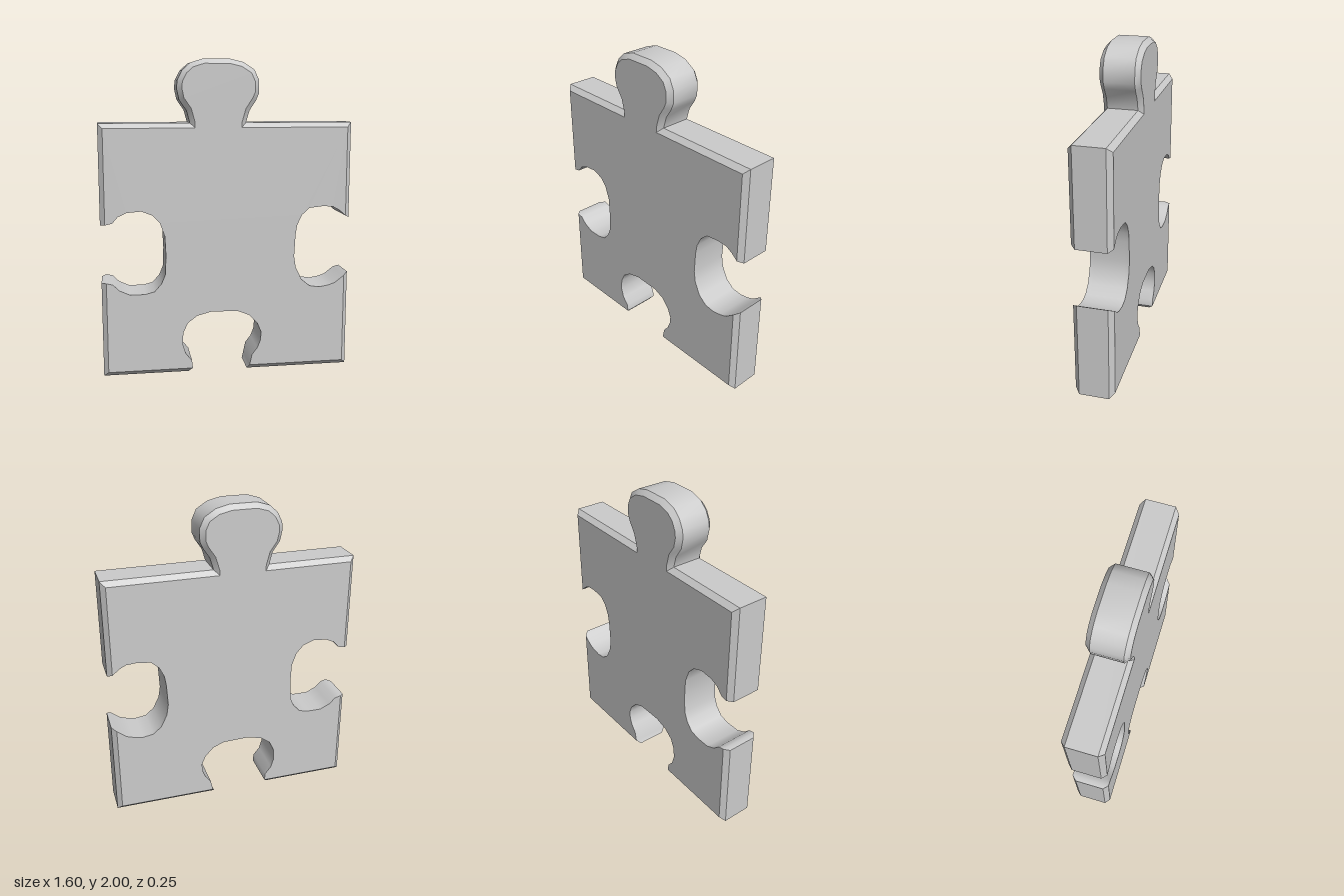
import * as THREE from 'three';
import { toCreasedNormals } from 'three/addons/utils/BufferGeometryUtils.js';

const HALF_W = 0.8, TOP = 1.61, HALF_D = 0.125, CHAMFER = 0.03, CREASE = 0.7;

// Sockets run counter-clockwise round the plate. The first and last points lie on
// the plate's edge, the second and second-last on the edge of the chamfer.
const bottomSocket = [
  [-0.255, 0], [-0.23, 0.03], [-0.235, 0.08], [-0.275, 0.13], [-0.295, 0.195], [-0.29, 0.27],
  [-0.26, 0.335], [-0.2, 0.38], [-0.105, 0.405], [0.065, 0.4], [0.14, 0.37], [0.195, 0.31],
  [0.22, 0.25], [0.215, 0.195], [0.195, 0.145], [0.16, 0.1], [0.145, 0.03], [0.13, 0],
];
const leftSocket = [
  [0.8, 0.63], [0.77, 0.612], [0.71, 0.565], [0.665, 0.55], [0.605, 0.54], [0.54, 0.55],
  [0.485, 0.595], [0.445, 0.675], [0.433, 0.75], [0.44, 0.89], [0.45, 0.955], [0.48, 1.02],
  [0.53, 1.065], [0.62, 1.075], [0.685, 1.07], [0.73, 1.045], [0.77, 1.01], [0.8, 0.995],
];
const rightSocket = [
  [-0.8, 0.98], [-0.77, 0.985], [-0.725, 0.995], [-0.69, 1.035], [-0.635, 1.06], [-0.545, 1.067],
  [-0.475, 1.04], [-0.43, 0.99], [-0.4, 0.905], [-0.395, 0.785], [-0.4, 0.66], [-0.425, 0.6],
  [-0.47, 0.55], [-0.53, 0.535], [-0.625, 0.535], [-0.69, 0.565], [-0.73, 0.605], [-0.77, 0.615],
  [-0.8, 0.61],
];
const knobOutline = [
  [-0.235, 1.55], [0.115, 1.55], [0.118, 1.61], [0.14, 1.685], [0.18, 1.745], [0.2, 1.79],
  [0.2, 1.87], [0.17, 1.935], [0.1, 1.98], [0.015, 2], [-0.15, 2], [-0.23, 1.975],
  [-0.28, 1.93], [-0.31, 1.87], [-0.315, 1.82], [-0.3, 1.75], [-0.255, 1.685], [-0.235, 1.61],
];

// A socket's face outline: its mouth points move along the socket wall to the chamfer edge.
const socketFace = (s) => [s[1], ...s.slice(1, -1), s[s.length - 2]];

const toVectors = (points) => points.map(([x, y]) => new THREE.Vector2(x, y));

// Plate outline, with the corners pulled in by the given inset
function plateOutline(inset, socket) {
  const x = HALF_W - inset;
  return toVectors([
    [-x, inset], ...socket(bottomSocket),
    [x, inset], ...socket(leftSocket),
    [x, TOP - inset], [-x, TOP - inset], ...socket(rightSocket),
  ]);
}

// Plate: four outline rings joined by walls, capped front and back.
// Only the straight outer edges are chamfered; the socket walls stay square.
function plateGeometry() {
  const outer = plateOutline(0, (s) => s);
  const face = plateOutline(CHAMFER, socketFace);
  const n = outer.length;
  const rings = [
    [face, -HALF_D], [outer, -HALF_D + CHAMFER],
    [outer, HALF_D - CHAMFER], [face, HALF_D],
  ];
  const positions = [];
  for (const [ring, z] of rings) for (const p of ring) positions.push(p.x, p.y, z);

  const index = [];
  for (let r = 0; r < 3; r++) {
    for (let i = 0; i < n; i++) {
      const j = (i + 1) % n;
      const a = r * n + i, b = r * n + j, c = a + n, d = b + n;
      const meets = (k, l) => rings[k][0][i].equals(rings[k][0][j]) && l;
      if (!meets(r, true)) index.push(a, b, d);
      if (!meets(r + 1, true)) index.push(a, d, c);
    }
  }
  for (const [a, b, c] of THREE.ShapeUtils.triangulateShape(face, [])) {
    index.push(3 * n + a, 3 * n + b, 3 * n + c);
    index.push(c, b, a);
  }
  const geometry = new THREE.BufferGeometry();
  geometry.setAttribute('position', new THREE.Float32BufferAttribute(positions, 3));
  geometry.setIndex(index);
  return toCreasedNormals(geometry, CREASE);
}

// Knob: extruded outline, chamfered all round; its foot meets the plate's chamfer
function knobGeometry() {
  const geometry = new THREE.ExtrudeGeometry(new THREE.Shape(toVectors(knobOutline)), {
    depth: 2 * (HALF_D - CHAMFER),
    bevelSize: CHAMFER,
    bevelOffset: -CHAMFER,
    bevelThickness: CHAMFER,
    bevelSegments: 1,
  });
  geometry.translate(0, 0, -HALF_D + CHAMFER);
  return toCreasedNormals(geometry, CREASE);
}

export function createModel() {
  const material = new THREE.MeshStandardMaterial({ color: 0xcccccc });
  const group = new THREE.Group();
  group.name = 'puzzlePiece';
  const parts = { plate: plateGeometry(), knob: knobGeometry() };
  for (const [name, geometry] of Object.entries(parts)) {
    const mesh = new THREE.Mesh(geometry, material);
    mesh.name = name;
    group.add(mesh);
  }
  return group;
}
